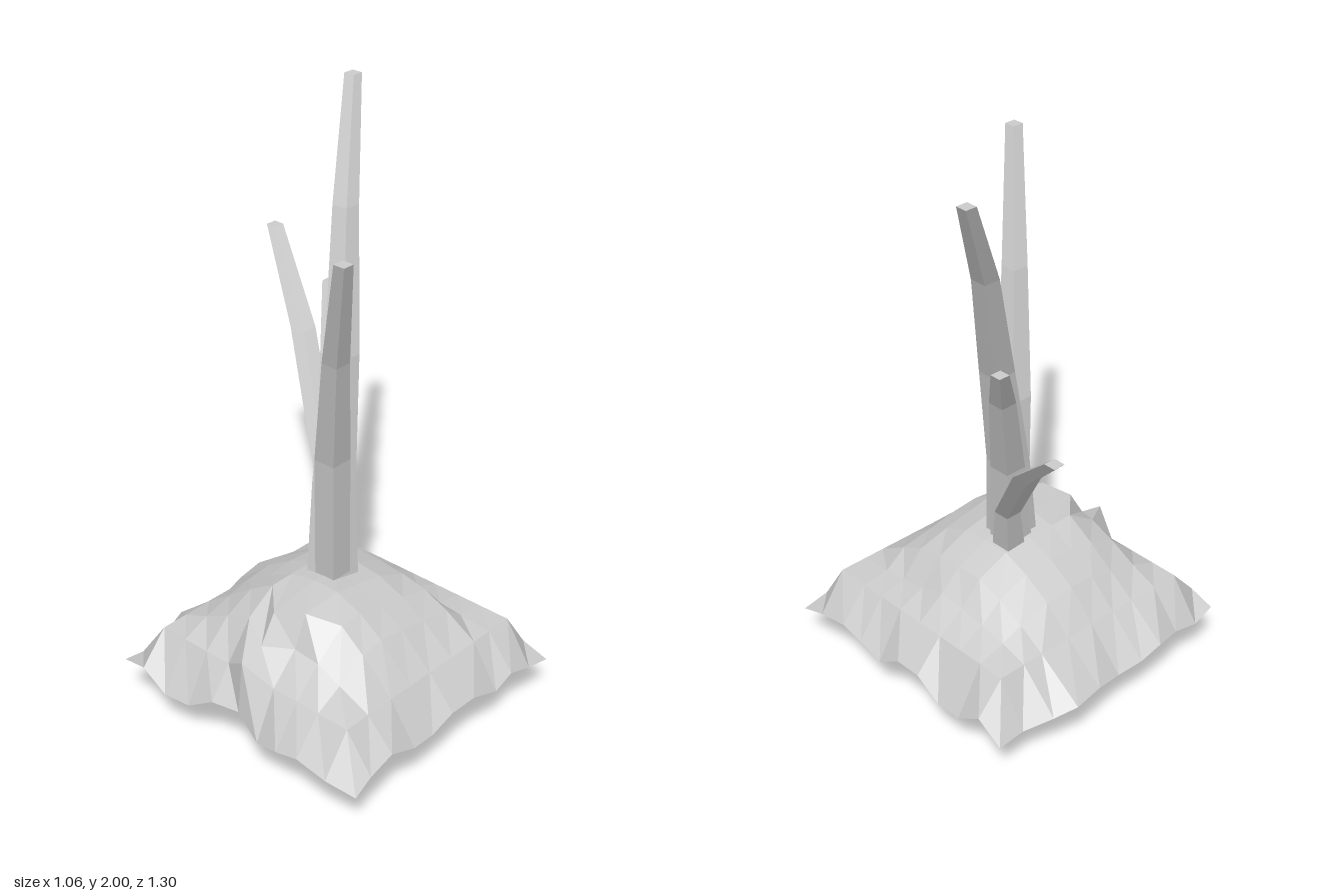
import * as THREE from 'three';

const material = new THREE.MeshStandardMaterial({ color: 0xcccccc, flatShading: true, side: THREE.DoubleSide });

// Four-sided tapering stalk through level sections [x, y, z, halfWidth]
function stalk(name, sections) {
  const n = sections.length - 1;
  const geometry = new THREE.BoxGeometry(2, 1, 2, 1, n, 1);
  const p = geometry.attributes.position;
  for (let i = 0; i < p.count; i++) {
    const [x, y, z, h] = sections[Math.round((p.getY(i) + 0.5) * n)];
    p.setXYZ(i, x + p.getX(i) * h, y, z + p.getZ(i) * h);
  }
  geometry.computeVertexNormals();
  const mesh = new THREE.Mesh(geometry, material);
  mesh.name = name;
  return mesh;
}

// Heights inside the mound, rows from back to front, columns towards +x
const heights = [
  [0.35, 0.38, 0.40, 0.41, 0.40, 0.37, 0.34],
  [0.40, 0.45, 0.46, 0.47, 0.46, 0.42, 0.36],
  [0.44, 0.51, 0.51, 0.51, 0.50, 0.45, 0.37],
  [0.40, 0.50, 0.53, 0.52, 0.50, 0.45, 0.38],
  [0.41, 0.52, 0.53, 0.51, 0.49, 0.44, 0.35],
  [0.40, 0.49, 0.49, 0.47, 0.45, 0.42, 0.33],
  [0.36, 0.42, 0.43, 0.42, 0.40, 0.38, 0.32],
];
const columns = [-0.53, -0.43, -0.33, -0.22, -0.13, -0.03, 0.08, 0.20, 0.28, 0.38, 0.48];
const rows = [-0.37, -0.26, -0.16, -0.06, 0.04, 0.14, 0.24, 0.34, 0.43, 0.55, 0.65];

// Wavy outer hem of the mound
const backZ = [-0.36, -0.37, -0.37, -0.40, -0.40, -0.39, -0.41, -0.43, -0.40, -0.36, -0.36];
const leftX = [-0.52, -0.53, -0.53, -0.52, -0.51, -0.49, -0.51, -0.53, -0.53, -0.53, -0.50];
const frontY = [0.14, 0.18, 0.21, 0.17, 0.17, 0.20, 0.20, 0.16, 0.19, 0.16, 0.14];
const backY = [0.18, 0.16, 0.18, 0.20, 0.18, 0.17, 0.19, 0.19, 0.17, 0.15, 0.14];
const sideY = [0.16, 0.20, 0.14, 0.14, 0.20, 0.20, 0.14, 0.17, 0.19, 0.17, 0.15];

function mound() {
  const geometry = new THREE.PlaneGeometry(1, 1, 10, 10).rotateX(-Math.PI / 2);
  const p = geometry.attributes.position;
  for (let j = 0; j < 11; j++) {
    for (let i = 0; i < 11; i++) {
      let x = columns[i], z = rows[j], y = 0.31;
      if (j === 0) { y = backY[i]; z = backZ[i]; }
      else if (j === 10) y = frontY[i];
      else if (i === 0 || i === 10) y = sideY[j];
      else if (i > 1 && i < 9 && j > 1 && j < 9) y = heights[j - 2][i - 2];
      if (i === 0) x = leftX[j];
      // Raised shelf and steep step on the right side
      if (j === 5 && i === 1) { x = -0.47; y = 0.38; }
      if (j === 5 && i === 2) x = -0.38;
      if (j === 5 && i === 3) x = -0.32;
      if (j === 6 && i === 3) x = -0.28;
      p.setXYZ(j * 11 + i, x, y, z);
    }
  }
  geometry.computeVertexNormals();
  const mesh = new THREE.Mesh(geometry, material);
  mesh.name = 'mound';
  return mesh;
}

// Slightly skewed square post below the mound
function post() {
  const outline = new THREE.Shape([[-0.08, -0.2], [0.04, -0.2], [0.04, -0.08], [-0.09, -0.07]]
    .map(([x, y]) => new THREE.Vector2(x, y)));
  const geometry = new THREE.ExtrudeGeometry(outline, { depth: 0.49, bevelEnabled: false }).rotateX(-Math.PI / 2);
  const mesh = new THREE.Mesh(geometry, material);
  mesh.name = 'post';
  return mesh;
}

export function createModel() {
  const model = new THREE.Group();
  model.name = 'plant';
  model.add(
    mound(),
    post(),
    stalk('tallStalk', [[-0.03, 0.48, 0.13, 0.06], [0.02, 0.82, 0.09, 0.05], [0.12, 1.22, 0.03, 0.04], [0.28, 1.65, -0.1, 0.03], [0.48, 2, -0.25, 0.02]]),
    stalk('frontStalk', [[-0.04, 0.48, 0.14, 0.04], [-0.09, 0.98, 0.18, 0.04], [-0.19, 1.39, 0.28, 0.03], [-0.33, 1.8, 0.43, 0.02]]),
    stalk('shortStalk', [[-0.01, 0.45, 0.11, 0.05], [0.05, 0.82, 0.06, 0.04], [0.18, 1.17, -0.06, 0.03], [0.29, 1.36, -0.17, 0.02]]),
    stalk('backStalk', [[0.02, 0.45, 0.09, 0.04], [0.08, 0.67, 0.03, 0.03], [0.35, 1.11, -0.35, 0.03], [0.51, 1.36, -0.63, 0.02]]),
  );
  return model;
}
